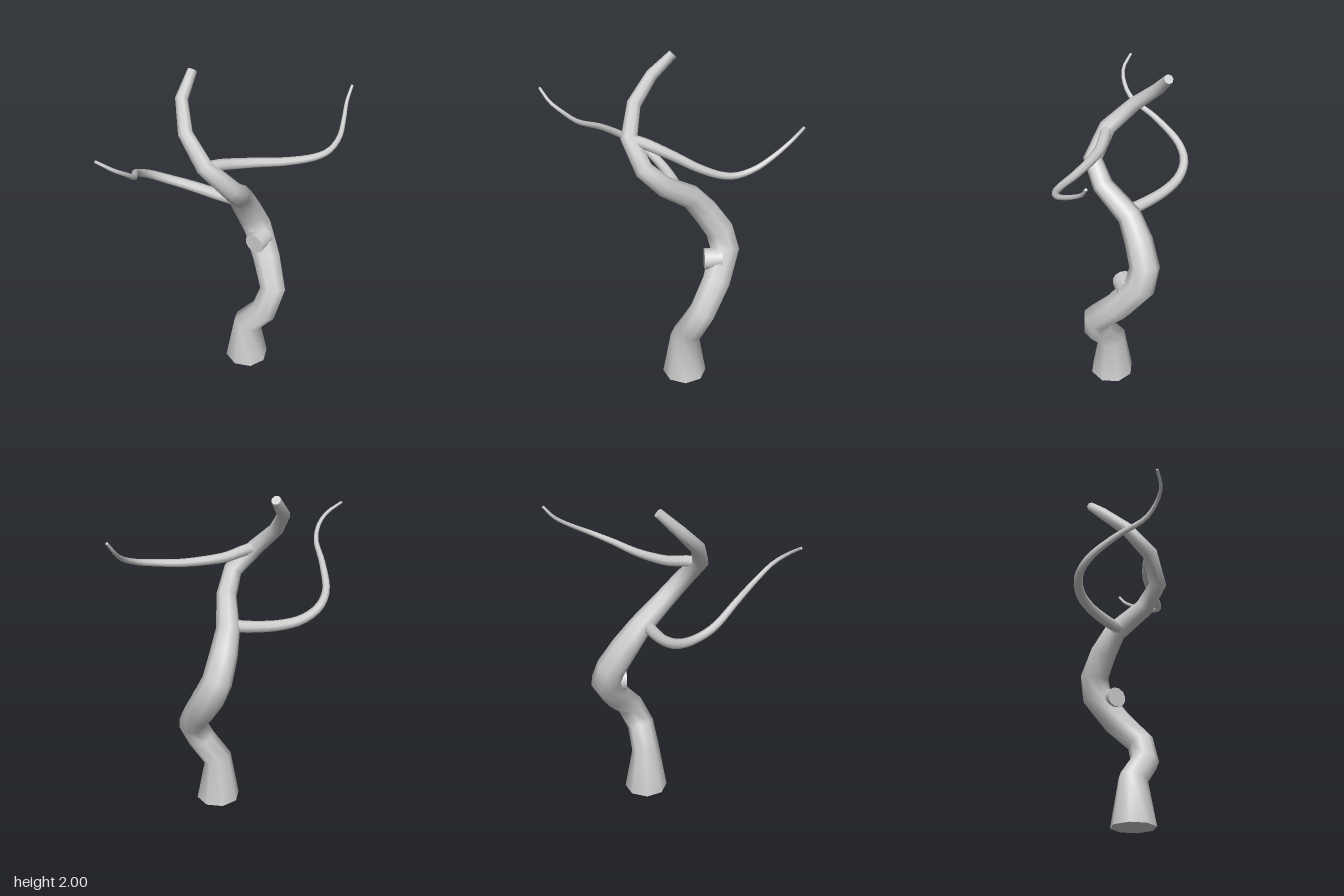
import * as THREE from 'three';

const material = new THREE.MeshStandardMaterial({ color: 0xcccccc, side: THREE.DoubleSide });

// Tapered tube through stations [x, y, z, radius], with flat end caps
function taperedTube(name, stations, sides) {
  const pts = stations.map(s => new THREE.Vector3(s[0], s[1], s[2]));
  const last = pts.length - 1;
  const pos = [], index = [];
  const normal = new THREE.Vector3(0, 0, 1);
  const ringAt = (i, j) => i * sides + (j % sides);

  pts.forEach((p, i) => {
    // ring plane bisects the neighbouring segments; the frame is carried along the path
    const t = new THREE.Vector3();
    if (i > 0) t.add(p.clone().sub(pts[i - 1]).normalize());
    if (i < last) t.add(pts[i + 1].clone().sub(p).normalize());
    t.normalize();
    normal.addScaledVector(t, -normal.dot(t)).normalize();
    const binormal = t.clone().cross(normal);
    for (let j = 0; j < sides; j++) {
      const a = ((j + 0.5) / sides) * Math.PI * 2;
      const v = p.clone()
        .addScaledVector(normal, Math.cos(a) * stations[i][3])
        .addScaledVector(binormal, Math.sin(a) * stations[i][3]);
      pos.push(v.x, v.y, v.z);
    }
  });
  for (let i = 0; i < last; i++) {
    for (let j = 0; j < sides; j++) {
      const a = ringAt(i, j), b = ringAt(i, j + 1);
      const c = ringAt(i + 1, j + 1), d = ringAt(i + 1, j);
      index.push(a, b, d, b, c, d);
    }
  }
  // end caps get their own vertices so the rims stay sharp
  for (const end of [0, last]) {
    const base = pos.length / 3;
    for (let j = 0; j < sides; j++) {
      const k = ringAt(end, j) * 3;
      pos.push(pos[k], pos[k + 1], pos[k + 2]);
    }
    for (let j = 1; j < sides - 1; j++) {
      if (end === 0) index.push(base, base + j + 1, base + j);
      else index.push(base, base + j, base + j + 1);
    }
  }
  const geo = new THREE.BufferGeometry();
  geo.setAttribute('position', new THREE.Float32BufferAttribute(pos, 3));
  geo.setIndex(index);
  geo.computeVertexNormals();
  const mesh = new THREE.Mesh(geo, material);
  mesh.name = name;
  return mesh;
}

// Smooth thin branch: a curve through the points, tapering from r0 to r1
function branch(name, points, r0, r1) {
  const curve = new THREE.CatmullRomCurve3(points.map(p => new THREE.Vector3(...p)));
  const steps = 32;
  const stations = curve.getSpacedPoints(steps).map((p, i) =>
    [p.x, p.y, p.z, THREE.MathUtils.lerp(r0, r1, i / steps)]);
  return taperedTube(name, stations, 8);
}

export function createModel() {
  const tree = new THREE.Group();
  tree.name = 'twistedTree';

  // Winding trunk
  tree.add(taperedTube('trunk', [
    [0.13, 0, 0.08, 0.135],
    [0.13, 0.28, 0.08, 0.088],
    [0.195, 0.41, 0.165, 0.085],
    [0.265, 0.55, 0.155, 0.083],
    [0.305, 0.69, 0.02, 0.088],
    [0.315, 0.85, -0.105, 0.092],
    [0.27, 0.96, -0.13, 0.088],
    [0.195, 1.09, -0.09, 0.082],
    [0.12, 1.21, -0.03, 0.07],
    [0.015, 1.34, 0.13, 0.06],
    [-0.08, 1.46, 0.195, 0.056],
    [-0.195, 1.6, 0.12, 0.05],
    [-0.222, 1.74, -0.03, 0.042],
    [-0.165, 1.87, -0.165, 0.036],
    [-0.06, 1.985, -0.225, 0.027],
  ], 8));

  // Cut-off stub on the side of the trunk
  tree.add(taperedTube('stub', [
    [0.32, 0.82, -0.04, 0.065],
    [0.22, 0.82, 0, 0.063],
  ], 12));

  // Lower branch sweeping back and to the right
  tree.add(branch('lowerBranch', [
    [0.07, 1.21, -0.02], [0, 1.22, -0.11], [-0.1, 1.245, -0.225],
    [-0.2, 1.28, -0.3], [-0.3, 1.335, -0.325], [-0.39, 1.4, -0.285],
    [-0.48, 1.51, -0.145], [-0.56, 1.6, 0.01], [-0.625, 1.67, 0.06],
    [-0.695, 1.725, 0.07], [-0.775, 1.785, 0.03],
  ], 0.037, 0.008));

  // Upper branch sweeping forward and to the left
  tree.add(branch('upperBranch', [
    [-0.18, 1.595, 0.125], [-0.1, 1.588, 0.13], [0, 1.57, 0.145],
    [0.1, 1.562, 0.18], [0.25, 1.557, 0.25], [0.4, 1.572, 0.315],
    [0.48, 1.59, 0.325], [0.57, 1.63, 0.295], [0.65, 1.685, 0.225],
    [0.72, 1.75, 0.155], [0.775, 1.82, 0.125],
  ], 0.034, 0.008));

  return tree;
}
